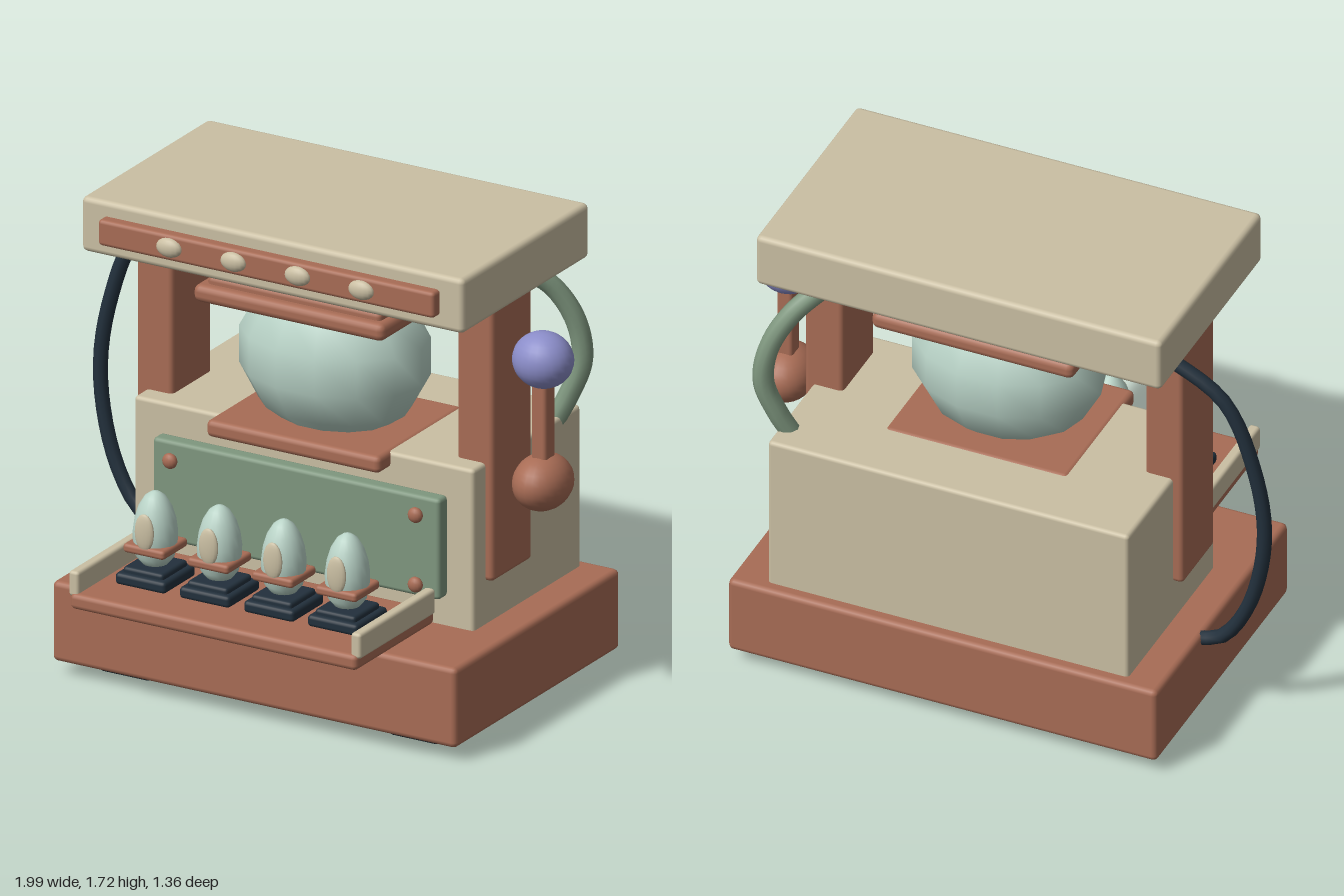
import * as THREE from 'three';
import { RoundedBoxGeometry } from 'three/addons/geometries/RoundedBoxGeometry.js';

const material = (name, color) => Object.assign(new THREE.MeshStandardMaterial({ color }), { name });

export function createModel() {
  const brown = material('terracotta', 0xa86c55);
  const cream = material('cream', 0xcabfa3);
  const green = material('sage', 0x7f977f);
  const navy = material('darkNavy', 0x22303c);
  const glass = material('paleMint', 0xb9d3c7);
  const violet = material('violet', 0x8b8dc9);

  const model = new THREE.Group();
  model.name = 'eggMachine';

  const add = (name, geometry, mat, parent = model) => {
    const mesh = new THREE.Mesh(geometry, mat);
    mesh.name = name;
    parent.add(mesh);
    return mesh;
  };
  // Bevelled box given by its extents on each axis
  const box = (name, mat, [x0, x1], [y0, y1], [z0, z1], bevel = 0.015, parent = model) => {
    const mesh = add(name, new RoundedBoxGeometry(x1 - x0, y1 - y0, z1 - z0, 2, bevel), mat, parent);
    mesh.position.set((x0 + x1) / 2, (y0 + y1) / 2, (z0 + z1) / 2);
    return mesh;
  };
  const ellipsoid = (name, mat, pos, radii, w = 20, h = 14, parent = model) => {
    const mesh = add(name, new THREE.SphereGeometry(1, w, h).scale(...radii), mat, parent);
    mesh.position.set(...pos);
    return mesh;
  };
  const hose = (name, mat, points, radius) => {
    const curve = new THREE.CatmullRomCurve3(points.map((p) => new THREE.Vector3(...p)));
    const mesh = add(name, new THREE.TubeGeometry(curve, 28, radius, 10), mat);
    // Closed ends
    for (const [t, s] of [[0, -1], [1, 1]]) {
      const cap = add(name + 'End', new THREE.CircleGeometry(radius, 10), mat);
      cap.position.copy(curve.getPoint(t));
      cap.lookAt(cap.position.clone().addScaledVector(curve.getTangent(t), s));
    }
    return mesh;
  };

  // Base, feet and body
  box('base', brown, [-0.74, 0.865], [0.05, 0.343], [-0.68, 0.415], 0.02);
  for (const x of [-0.515, 0.635])
    for (const z of [0.205, -0.47])
      box('foot', navy, [x - 0.115, x + 0.115], [0, 0.07], [z - 0.115, z + 0.115], 0.03);
  box('body', cream, [-0.615, 0.735], [0.3, 0.933], [-0.635, 0.078], 0.015);

  // Front panel with corner rivets
  box('frontPanel', green, [-0.51, 0.63], [0.45, 0.82], [0.07, 0.13]);
  for (const x of [-0.43, 0.545])
    for (const y of [0.5, 0.755])
      ellipsoid('rivet', brown, [x, y, 0.148], [0.028, 0.028, 0.02], 14, 10);

  // Tray with side rails
  box('tray', brown, [-0.51, 0.63], [0.378, 0.435], [0.16, 0.683], 0.018);
  for (const x of [-0.5, 0.62])
    box('trayRail', cream, [x - 0.02, x + 0.02], [0.42, 0.513], [0.17, 0.672], 0.012);

  // Eggs in square holders
  const eggProfile = [[0, 0.49], [0.045, 0.498], [0.067, 0.525], [0.077, 0.575], [0.078, 0.615],
    [0.072, 0.66], [0.058, 0.705], [0.036, 0.742], [0.015, 0.757], [0, 0.76]]
    .map(([r, y]) => new THREE.Vector2(r, y));
  const columns = [-0.325, -0.07, 0.185, 0.438];
  for (const x of columns) {
    const cup = new THREE.Group();
    cup.name = 'eggStation';
    cup.position.set(x, 0, 0.42);
    model.add(cup);
    box('eggStand', navy, [-0.1, 0.1], [0.432, 0.475], [-0.105, 0.105], 0.014, cup);
    box('eggStandTop', navy, [-0.08, 0.08], [0.455, 0.495], [-0.085, 0.085], 0.012, cup);
    box('eggCollar', brown, [-0.082, 0.082], [0.545, 0.578], [-0.082, 0.082], 0.012, cup);
    add('egg', new THREE.LatheGeometry(eggProfile, 20), glass, cup);
    ellipsoid('eggPatch', cream, [0, 0.63, 0.073], [0.038, 0.068, 0.014], 16, 12, cup);
  }

  // Globe held between collars
  ellipsoid('globe', glass, [0.06, 1.17, -0.13], [0.353, 0.305, 0.28], 14, 7);
  box('lowerCollar', brown, [-0.285, 0.405], [0.875, 0.937], [-0.41, 0.155], 0.02);
  box('upperCollar', brown, [-0.32, 0.437], [1.373, 1.437], [-0.445, 0.185], 0.025);
  box('upperCollarStep', brown, [-0.282, 0.407], [1.42, 1.465], [-0.41, 0.15], 0.018);

  // Posts and canopy
  for (const x of [-0.58, 0.693])
    box('post', brown, [x - 0.072, x + 0.072], [0.5, 1.55], [-0.264, 0], 0.018);
  box('canopy', cream, [-0.7, 0.818], [1.517, 1.718], [-0.555, 0.287], 0.02);
  box('canopyStrip', brown, [-0.61, 0.725], [1.57, 1.665], [0.27, 0.328], 0.014);
  for (const x of columns)
    ellipsoid('canopyKnob', cream, [x, 1.62, 0.328], [0.05, 0.035, 0.024], 16, 10);

  // Side lever
  box('leverStem', brown, [0.856, 0.916], [0.85, 1.3], [-0.165, -0.097], 0.014);
  ellipsoid('leverHub', brown, [0.886, 0.853, -0.131], [0.1, 0.1, 0.125], 24, 16);
  ellipsoid('leverBall', violet, [0.886, 1.3, -0.131], [0.109, 0.1, 0.1], 24, 16);

  // Hoses
  hose('darkHose', navy, [[-0.56, 1.53, -0.35], [-0.645, 1.49, -0.34], [-0.83, 1.36, -0.32],
    [-0.94, 1.08, -0.305], [-0.973, 0.81, -0.3], [-0.915, 0.52, -0.295], [-0.81, 0.35, -0.29],
    [-0.71, 0.31, -0.285]], 0.026);
  hose('greenHose', green, [[0.6, 1.5, -0.42], [0.7, 1.4, -0.51], [0.765, 1.27, -0.555],
    [0.782, 1.13, -0.565], [0.74, 1.0, -0.545], [0.7, 0.91, -0.52]], 0.037);

  return model;
}
